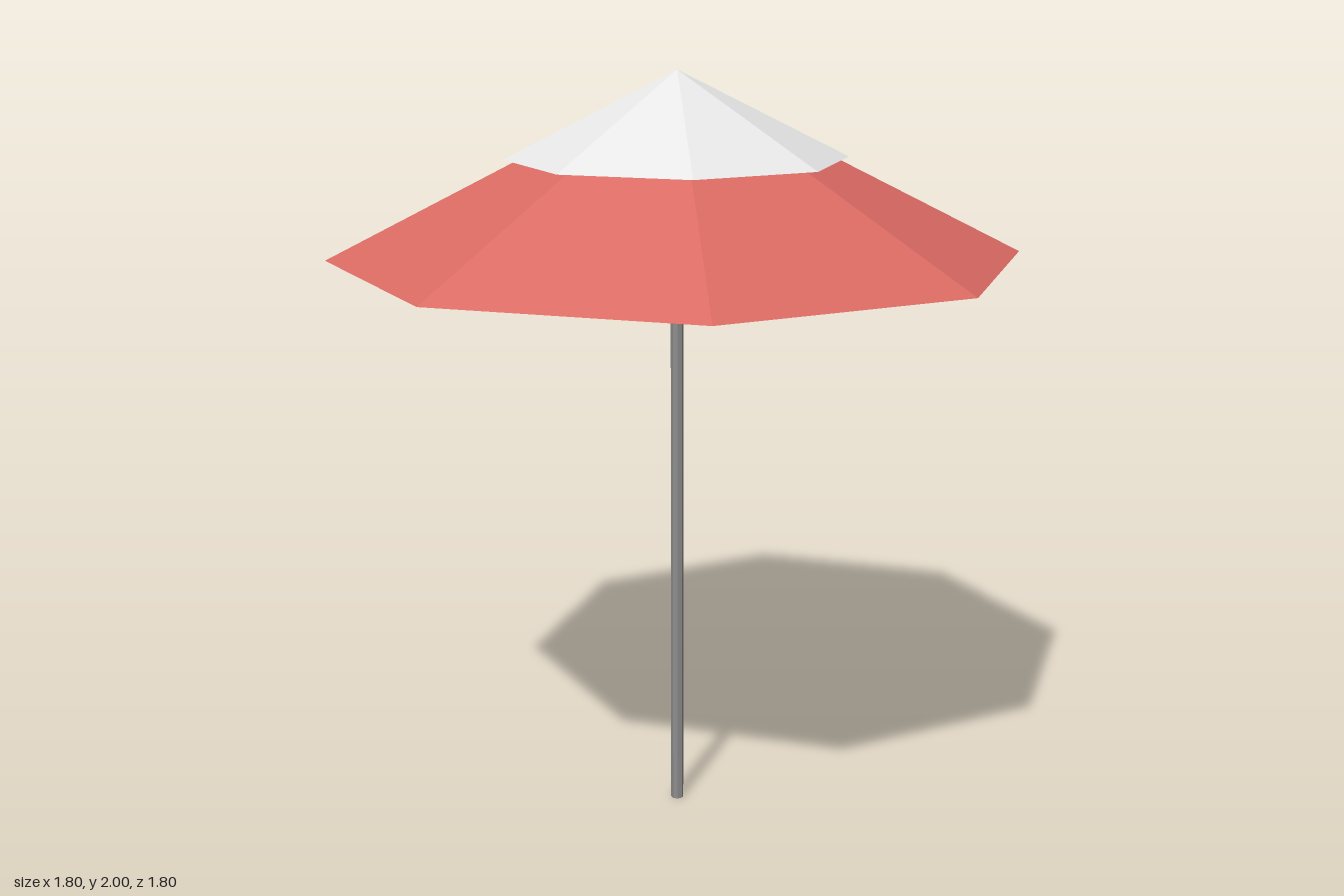
import * as THREE from 'three';

const flat = (name, color) => {
  const m = new THREE.MeshStandardMaterial({ color });
  m.name = name;
  return m;
};

export function createModel() {
  const group = new THREE.Group();
  group.name = 'parasol';
  const red = flat('red cloth', 0xd96a62);
  const white = flat('white cloth', 0xe6e6e6);
  const grey = flat('grey metal', 0x8c8c8c);

  // Adds a part standing on the given height, with faceted normals if wanted
  const add = (name, geometry, material, bottom, height, faceted) => {
    let g = geometry;
    if (faceted) {
      g = geometry.toNonIndexed();
      g.computeVertexNormals();
    }
    const mesh = new THREE.Mesh(g, material);
    mesh.name = name;
    mesh.position.y = bottom + height / 2;
    group.add(mesh);
  };

  // Pole
  add('pole', new THREE.CylinderGeometry(0.017, 0.017, 1.6, 8), grey, 0, 1.6, true);
  // Eight-sided canopy with a flat underside
  add('canopy', new THREE.ConeGeometry(0.9, 0.455, 8), red, 1.527, 0.455, true);
  // Smaller cap on top
  add('topCap', new THREE.ConeGeometry(0.443, 0.222, 8), white, 1.778, 0.222, true);

  return group;
}
